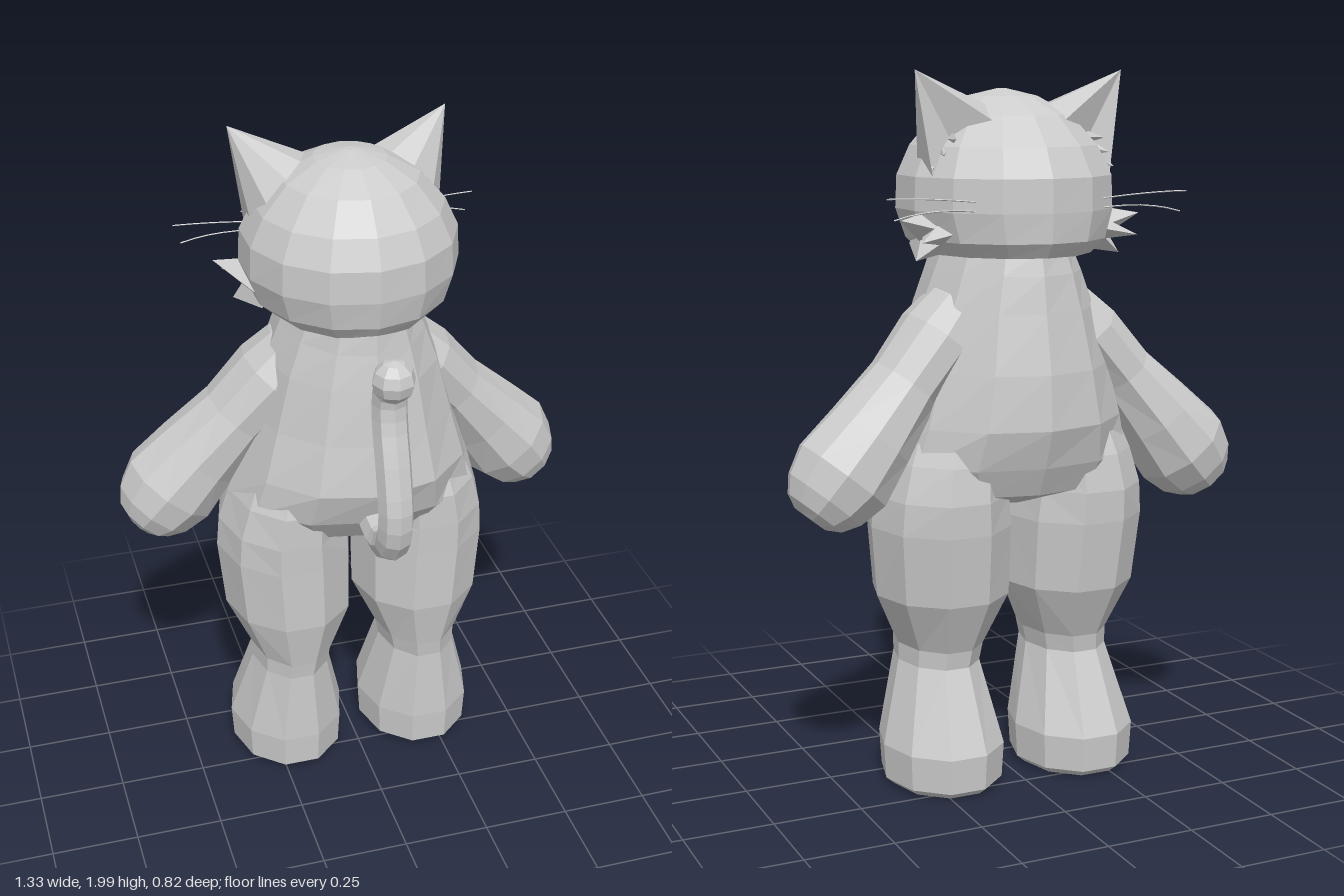
import * as THREE from 'three';

const fur = new THREE.MeshStandardMaterial({ color: 0xcccccc });
fur.name = 'grey fur';

// Separate every face so that it is shaded flat
function flat(geo) {
  const g = geo.index ? geo.toNonIndexed() : geo;
  g.deleteAttribute('uv');
  g.computeVertexNormals();
  return g;
}

// Skin through elliptical rings [x, y, z, rx, rz], listed from bottom to top
function loft(rings, n, phase = 0) {
  const pos = [], idx = [];
  for (const [x, y, z, rx, rz] of rings) {
    for (let i = 0; i < n; i++) {
      const a = (i / n) * Math.PI * 2 + phase;
      pos.push(x + Math.cos(a) * rx, y, z + Math.sin(a) * rz);
    }
  }
  for (let r = 0; r < rings.length - 1; r++) {
    for (let i = 0; i < n; i++) {
      const j = (i + 1) % n, a = r * n + i, b = r * n + j;
      idx.push(a, a + n, b, b, a + n, b + n);
    }
  }
  const caps = [[0, 1], [rings.length - 1, -1]];
  for (const [r, side] of caps) {
    const c = pos.length / 3;
    pos.push(...rings[r].slice(0, 3));
    for (let i = 0; i < n; i++) {
      const a = r * n + i, b = r * n + ((i + 1) % n);
      if (side > 0) idx.push(c, a, b); else idx.push(c, b, a);
    }
  }
  const g = new THREE.BufferGeometry();
  g.setAttribute('position', new THREE.Float32BufferAttribute(pos, 3));
  g.setIndex(idx);
  return flat(g);
}

// Mirror a flat geometry across x, keeping faces outward
function mirrored(geo) {
  const g = geo.clone(), p = g.attributes.position, v = [];
  for (let t = 0; t < p.count; t += 3) {
    for (const k of [0, 2, 1]) v.push(-p.getX(t + k), p.getY(t + k), p.getZ(t + k));
  }
  g.setAttribute('position', new THREE.Float32BufferAttribute(v, 3));
  g.computeVertexNormals();
  return g;
}

// Pointed tuft from base to tip, w along z and h across
function spike(base, tip, w, h) {
  const a = new THREE.Vector3(...base), b = new THREE.Vector3(...tip);
  const len = a.distanceTo(b);
  const g = new THREE.ConeGeometry(1, len, 4);
  g.translate(0, len / 2, 0);
  g.scale(h, 1, w);
  const up = b.clone().sub(a).normalize();
  const across = new THREE.Vector3().crossVectors(up, new THREE.Vector3(0, 0, 1)).normalize();
  const side = new THREE.Vector3().crossVectors(across, up);
  g.applyMatrix4(new THREE.Matrix4().makeBasis(across, up, side));
  g.translate(...base);
  return flat(g);
}

// Ear shell around a base outline, with a hollow facing the face side
function earGeometry() {
  const tip = [0.305, 2.0, -0.2], hollow = [0.2, 1.81, -0.2];
  const rim = [
    [0.08, 1.85, -0.265], [0.075, 1.9, -0.18], [0.1, 1.9, -0.1], [0.155, 1.865, -0.045],
    [0.22, 1.79, -0.045], [0.262, 1.73, -0.11], [0.262, 1.71, -0.22],
  ];
  const v = [];
  for (let i = 0; i < rim.length - 1; i++) v.push(...tip, ...rim[i], ...rim[i + 1]);
  v.push(...tip, ...hollow, ...rim[0], ...tip, ...rim[6], ...hollow);
  const g = new THREE.BufferGeometry();
  g.setAttribute('position', new THREE.Float32BufferAttribute(v, 3));
  return flat(g);
}

export function createModel() {
  const model = new THREE.Group();
  model.name = 'cat';
  const add = (name, geo) => {
    const m = new THREE.Mesh(geo, fur);
    m.name = name;
    model.add(m);
  };
  const pair = (name, geo) => {
    add('left' + name, geo);
    add('right' + name, mirrored(geo));
  };

  // Pear-shaped torso
  add('torso', loft([
    [0, 0.81, -0.09, 0.06, 0.1],
    [0, 0.86, -0.1, 0.31, 0.23],
    [0, 0.94, -0.088, 0.368, 0.28],
    [0, 1.05, -0.085, 0.335, 0.322],
    [0, 1.2, -0.09, 0.29, 0.308],
    [0, 1.36, -0.085, 0.245, 0.284],
    [0, 1.46, -0.085, 0.205, 0.268],
    [0, 1.53, -0.08, 0.175, 0.255],
  ], 12));

  // Legs with narrow ankles and blocky feet, tapering into the hips
  pair('Leg', loft([
    [0.205, 0.01, -0.115, 0.145, 0.18],
    [0.205, 0.03, -0.115, 0.168, 0.205],
    [0.205, 0.13, -0.115, 0.174, 0.212],
    [0.2, 0.36, -0.07, 0.115, 0.162],
    [0.195, 0.41, -0.07, 0.12, 0.17],
    [0.195, 0.56, -0.09, 0.19, 0.22],
    [0.203, 0.76, -0.1, 0.2, 0.237],
    [0.205, 0.85, -0.1, 0.19, 0.242],
    [0.195, 0.95, -0.092, 0.17, 0.235],
    [0.18, 1.06, -0.09, 0.135, 0.2],
  ], 10));

  // Arms, lofted hanging down and then swung outward
  const arm = loft([
    [0, -0.725, -0.185, 0.05, 0.06],
    [0, -0.705, -0.185, 0.09, 0.095],
    [0, -0.66, -0.185, 0.122, 0.125],
    [0, -0.58, -0.185, 0.144, 0.147],
    [0, -0.45, -0.175, 0.124, 0.142],
    [0, -0.28, -0.15, 0.097, 0.135],
    [0, -0.12, -0.13, 0.098, 0.15],
    [0, -0.02, -0.12, 0.08, 0.125],
    [-0.02, 0.05, -0.11, 0.04, 0.06],
  ], 10);
  arm.rotateZ(0.695);
  arm.translate(0.145, 1.38, 0);
  arm.computeVertexNormals();
  pair('Arm', arm);

  // Rounded head with a flat underside
  add('head', loft([
    [0, 1.51, -0.1, 0.23, 0.27],
    [0, 1.55, -0.1, 0.275, 0.3],
    [0, 1.63, -0.095, 0.302, 0.31],
    [0, 1.72, -0.095, 0.298, 0.308],
    [0, 1.8, -0.09, 0.26, 0.27],
    [0, 1.88, -0.085, 0.19, 0.2],
    [0, 1.93, -0.08, 0.1, 0.105],
    [0, 1.95, -0.08, 0.015, 0.015],
  ], 14, Math.PI / 14));

  pair('Ear', earGeometry());
  pair('UpperCheekTuft', spike([0.22, 1.575, -0.14], [0.355, 1.61, -0.22], 0.13, 0.065));
  pair('LowerCheekTuft', spike([0.22, 1.565, -0.15], [0.305, 1.5, -0.2], 0.12, 0.06));
  pair('MiddleCheekTuft', spike([0.24, 1.57, -0.22], [0.32, 1.555, -0.28], 0.06, 0.03));

  // Small hair tufts in front of the ears
  for (let i = 0; i < 3; i++) {
    const x = 0.19 + i * 0.025, y = 1.82 - i * 0.03;
    pair('EarTuft' + (i + 1), spike([x, y, -0.17], [x + 0.03, y - i * 0.01, -0.27 + i * 0.02], 0.02, 0.025));
  }

  // Fine curved whiskers
  for (const [name, y, tip] of [['UpperWhisker', 1.67, [0.44, 1.675]], ['LowerWhisker', 1.645, [0.42, 1.62]]]) {
    const path = new THREE.QuadraticBezierCurve3(
      new THREE.Vector3(0.18, y - 0.01, -0.325),
      new THREE.Vector3(0.32, y + 0.005, -0.33),
      new THREE.Vector3(tip[0], tip[1], -0.335));
    pair(name, flat(new THREE.TubeGeometry(path, 6, 0.002, 4)));
  }

  // S-shaped tail with a rounded tip
  const points = [[0.94, 0.16], [0.93, 0.27], [0.97, 0.338], [1.06, 0.362], [1.2, 0.335],
    [1.33, 0.297], [1.41, 0.295], [1.46, 0.325]];
  const tailPath = new THREE.CatmullRomCurve3(points.map(([y, z]) => new THREE.Vector3(0, y, z)));
  add('tail', flat(new THREE.TubeGeometry(tailPath, 16, 0.05, 8)));
  const tip = new THREE.SphereGeometry(0.06, 8, 6);
  tip.translate(0, 1.462, 0.328);
  add('tailTip', flat(tip));

  return model;
}
